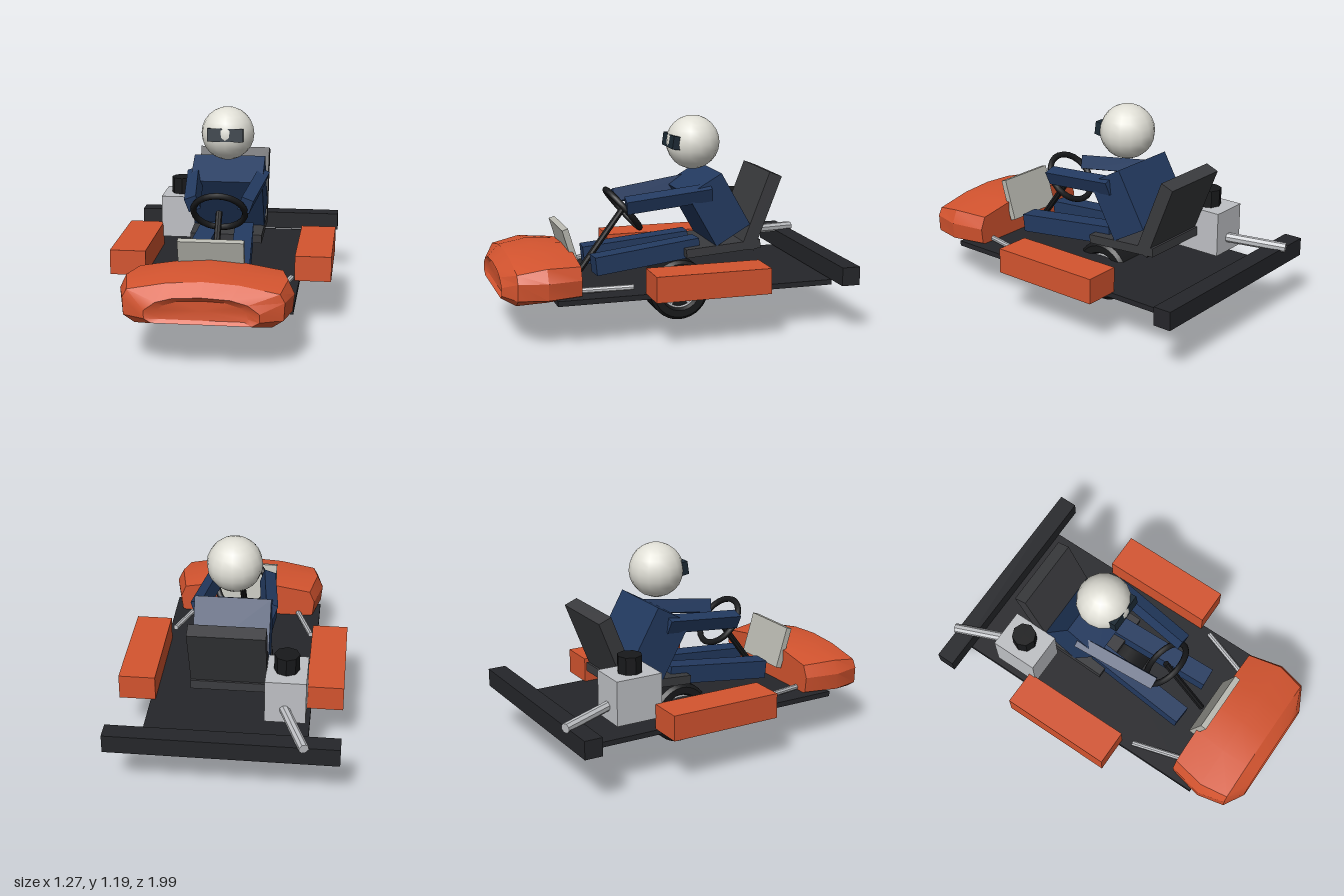
import * as THREE from 'three';
import { toCreasedNormals } from 'three/addons/utils/BufferGeometryUtils.js';

const mat = (color) => new THREE.MeshStandardMaterial({ color });
const orange = mat(0xd4542f), dark = mat(0x25262a), black = mat(0x18191b), seatGrey = mat(0x3a3b3e);
const blue = mat(0x233a60), metal = mat(0xbfc1c5), plate = mat(0xb8b8b0), white = mat(0xe0dfd6), glass = mat(0x1c2a35);

const V = (x, y, z) => new THREE.Vector3(x, y, z);

function add(parent, name, geo, material, pos = [0, 0, 0], rotX = 0) {
  const m = new THREE.Mesh(geo, material);
  m.name = name;
  m.position.set(...pos);
  m.rotation.x = rotX;
  parent.add(m);
  return m;
}

const box = (parent, name, size, pos, material, rotX = 0) =>
  add(parent, name, new THREE.BoxGeometry(...size), material, pos, rotX);

// Round bar between two points
function rod(parent, name, a, b, r, sides, material) {
  const m = add(parent, name, toCreasedNormals(new THREE.CylinderGeometry(r, r, a.distanceTo(b), sides), 0.7), material);
  m.position.copy(a).lerp(b, 0.5);
  m.quaternion.setFromUnitVectors(V(0, 1, 0), b.clone().sub(a).normalize());
  return m;
}

// Square limb between two points
function limb(parent, name, a, b, w, h, roll, material) {
  const m = box(parent, name, [w, h, a.distanceTo(b)], [0, 0, 0], material);
  m.position.copy(a).lerp(b, 0.5);
  m.lookAt(b);
  m.rotateZ(roll);
  return m;
}

// Closed loft through mirrored half sections (bottom to top), stacked along z
function loft(sections) {
  const pos = [], idx = [];
  let n = 0;
  for (const [z, half] of sections) {
    const ring = [...half, ...half.slice(0, -1).reverse().map(([x, y]) => [-x, y])];
    n = ring.length;
    ring.forEach(([x, y]) => pos.push(x, y, z));
  }
  const last = (sections.length - 1) * n;
  const c0 = pos.length / 3;
  pos.push(0, 0.35, sections[0][0], 0, 0.33, sections[sections.length - 1][0]);
  for (let i = 0; i < n; i++) {
    const k = (i + 1) % n;
    for (let j = 0; j < last; j += n) idx.push(j + i, j + k, j + n + k, j + i, j + n + k, j + n + i);
    idx.push(c0, k, i, c0 + 1, last + i, last + k);
  }
  const g = new THREE.BufferGeometry();
  g.setAttribute('position', new THREE.Float32BufferAttribute(pos, 3));
  g.setIndex(idx);
  return toCreasedNormals(g, 0.45);
}

export function createModel() {
  const kart = new THREE.Group();
  kart.name = 'kart';

  // Chassis and bodywork
  box(kart, 'floorPan', [0.91, 0.03, 1.6], [0, 0.258, -0.08], dark);
  box(kart, 'rearBumper', [1.27, 0.105, 0.105], [0, 0.333, -0.917], dark);
  add(kart, 'noseCone', loft([
    [0.575, [[0.33, 0.25], [0.41, 0.28], [0.42, 0.37], [0.39, 0.44], [0.18, 0.475], [0, 0.49]]],
    [0.77, [[0.36, 0.245], [0.455, 0.28], [0.465, 0.375], [0.43, 0.45], [0.2, 0.485], [0, 0.5]]],
    [0.93, [[0.36, 0.24], [0.42, 0.28], [0.425, 0.375], [0.4, 0.42], [0.19, 0.46], [0, 0.472]]],
    [0.998, [[0.26, 0.262], [0.3, 0.285], [0.3, 0.33], [0.24, 0.375], [0.15, 0.4], [0, 0.408]]],
    [0.98, [[0.22, 0.28], [0.24, 0.295], [0.23, 0.33], [0.2, 0.355], [0.12, 0.38], [0, 0.385]]],
  ]), orange);
  box(kart, 'frontPanel', [0.36, 0.245, 0.035], [0, 0.485, 0.58], plate, 0.29);
  for (const s of [1, -1]) {
    box(kart, 'sidePod', [0.207, 0.145, 0.66], [s * 0.532, 0.343, -0.11], orange);
    rod(kart, 'frontStrut', V(s * 0.415, 0.31, 0.285), V(s * 0.315, 0.285, 0.6), 0.016, 8, metal);
  }

  // Seat
  box(kart, 'seatBase', [0.424, 0.05, 0.45], [0, 0.437, -0.31], seatGrey, 0.07);
  box(kart, 'seatBack', [0.424, 0.46, 0.08], [0, 0.643, -0.54], seatGrey, -0.37);

  // Engine and exhaust
  box(kart, 'engineBlock', [0.225, 0.255, 0.275], [-0.322, 0.46, -0.537], metal);
  add(kart, 'engineHead', toCreasedNormals(new THREE.CylinderGeometry(0.07, 0.07, 0.1, 8), 0.4), black, [-0.32, 0.635, -0.535]);
  rod(kart, 'exhaust', V(-0.315, 0.415, -0.66), V(-0.442, 0.392, -0.985), 0.028, 8, metal);

  // Steering
  rod(kart, 'steeringColumn', V(0, 0.31, 0.5), V(0, 0.665, 0.235), 0.019, 8, black);
  add(kart, 'steeringWheel', new THREE.TorusGeometry(0.147, 0.018, 8, 24), black, [0, 0.665, 0.235], 0.69);

  // Single wheel under the floor, axle along x
  const wheel = new THREE.Group();
  wheel.name = 'wheel';
  wheel.position.set(0, 0.178, -0.083);
  kart.add(wheel);
  const tyreProfile = [[0.105, -0.085], [0.12, -0.11], [0.16, -0.11], [0.178, -0.09], [0.178, 0.09], [0.16, 0.11],
    [0.12, 0.11], [0.105, 0.085]].map(([r, y]) => new THREE.Vector2(r, y));
  add(wheel, 'tyre', toCreasedNormals(new THREE.LatheGeometry(tyreProfile, 32), 0.6), black).rotation.z = Math.PI / 2;
  add(wheel, 'rimBarrel', new THREE.CylinderGeometry(0.107, 0.107, 0.15, 32), black).rotation.z = Math.PI / 2;
  for (const s of [1, -1]) {
    add(wheel, 'rimRing', new THREE.TorusGeometry(0.102, 0.007, 6, 32), metal, [s * 0.088, 0, 0]).rotation.y = Math.PI / 2;
    add(wheel, 'hub', new THREE.CylinderGeometry(0.025, 0.025, 0.03, 12), metal, [s * 0.085, 0, 0]).rotation.z = Math.PI / 2;
    for (let i = 0; i < 5; i++) {
      const a = (i / 5) * Math.PI * 2;
      box(wheel, 'spoke', [0.02, 0.09, 0.022], [s * 0.083, 0.057 * Math.cos(a), 0.057 * Math.sin(a)], metal, a);
    }
  }

  // Driver
  const driver = new THREE.Group();
  driver.name = 'driver';
  kart.add(driver);
  box(driver, 'torso', [0.424, 0.355, 0.235], [0, 0.667, -0.279], blue, 0.52);
  for (const s of [1, -1]) {
    limb(driver, 'arm', V(s * 0.2, 0.772, -0.235), V(s * 0.15, 0.712, 0.255), 0.07, 0.08, -s * 0.35, blue);
    limb(driver, 'leg', V(s * 0.1, 0.445, -0.18), V(s * 0.14, 0.38, 0.445), 0.11, 0.105, 0, blue);
  }
  add(driver, 'helmet', new THREE.SphereGeometry(0.156, 16, 12), white, [0, 1.035, -0.187]);
  box(driver, 'visor', [0.208, 0.076, 0.045], [0, 1.046, -0.06], glass, -0.14);

  return kart;
}
